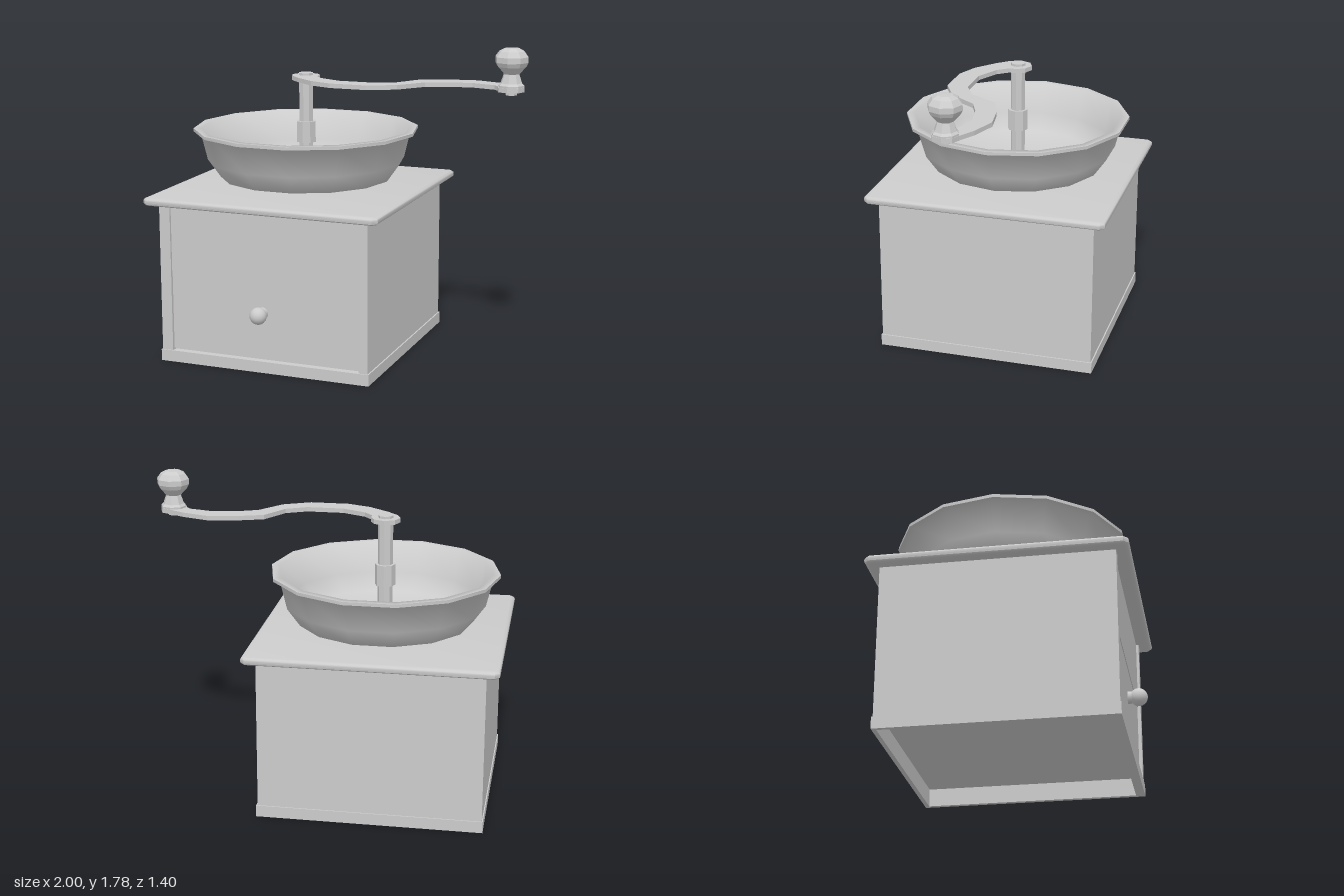
import * as THREE from 'three';
import { toCreasedNormals } from 'three/addons/utils/BufferGeometryUtils.js';

const CX = -0.31, CZ = -0.006; // centre of the box
const SHAFT_X = -0.307, SHAFT_Z = -0.025; // centre of bowl and shaft
const KNOB_X = 0.907, KNOB_Z = 0.014; // centre of the crank knob

const smooth = new THREE.MeshStandardMaterial({ color: 0xcccccc });
const flat = new THREE.MeshStandardMaterial({ color: 0xcccccc, flatShading: true });

const points = (list) => list.map(([x, y]) => new THREE.Vector2(x, y));

export function createModel() {
  const model = new THREE.Group();
  model.name = 'coffeeGrinder';

  const add = (name, geometry, x, y, z, material = flat) => {
    const mesh = new THREE.Mesh(geometry, material);
    mesh.name = name;
    mesh.position.set(x, y, z);
    model.add(mesh);
    return mesh;
  };
  // Box given by its limits on each axis
  const block = (name, x0, x1, y0, y1, z0, z1) =>
    add(name, new THREE.BoxGeometry(x1 - x0, y1 - y0, z1 - z0),
      (x0 + x1) / 2, (y0 + y1) / 2, (z0 + z1) / 2);
  // Upright prism given by its bottom and top
  const post = (name, r, y0, y1, x, z, sides = 8) =>
    add(name, new THREE.CylinderGeometry(r, r, y1 - y0, sides), x, (y0 + y1) / 2, z);
  // Plan shape drawn as (x, z), extruded from y0 up to y1
  const slab = (name, shape, y0, y1) => {
    const geometry = new THREE.ExtrudeGeometry(shape, { depth: y1 - y0, bevelEnabled: false });
    geometry.rotateX(Math.PI / 2);
    return add(name, geometry, 0, y1, 0);
  };
  // Rectangular frame around the hollow underside
  const frame = (name, x0, x1, z0, z1, y0, y1) => {
    const shape = new THREE.Shape(points([[x0, z0], [x1, z0], [x1, z1], [x0, z1]]));
    shape.holes.push(new THREE.Path(points(
      [[-0.91, -0.608], [-0.91, 0.57], [0.29, 0.57], [0.29, -0.608]])));
    return slab(name, shape, y0, y1);
  };

  // Wooden case: carcass, corner stiles, recessed front and skirt
  block('carcass', -0.927, 0.307, 0.1, 0.91, -0.625, 0.58);
  frame('carcassFoot', -0.927, 0.307, -0.625, 0.58, 0.065, 0.1);
  frame('skirt', -0.933, 0.315, -0.632, 0.62, 0, 0.065);
  block('leftStile', 0.255, 0.307, 0.06, 0.91, 0.575, 0.614);
  block('rightStile', -0.927, -0.863, 0.06, 0.91, 0.575, 0.614);
  block('upperPanel', -0.863, 0.255, 0.516, 0.91, 0.575, 0.6);
  block('drawerFront', -0.863, 0.255, 0.075, 0.516, 0.575, 0.596);

  // Drawer knob with its stem
  add('drawerKnob', new THREE.SphereGeometry(0.048, 16, 12), -0.315, 0.337, 0.654, smooth);
  const stem = add('drawerKnobStem', new THREE.CylinderGeometry(0.03, 0.035, 0.05, 12),
    -0.315, 0.337, 0.612, smooth);
  stem.rotation.x = Math.PI / 2;

  // Lid with rounded edges and slightly cut corners
  const h = 0.667, c = 0.655;
  const lidShape = new THREE.Shape(points([
    [-c, -h], [c, -h], [h, -c], [h, c], [c, h], [-c, h], [-h, c], [-h, -c],
  ]));
  const lid = new THREE.ExtrudeGeometry(lidShape, {
    depth: 0.006, bevelThickness: 0.019, bevelSize: 0.023, bevelSegments: 3,
  });
  lid.rotateX(-Math.PI / 2);
  add('lid', toCreasedNormals(lid, 0.7), CX, 0.922, CZ, smooth);

  // Fourteen-sided thin bowl: outside from the foot up, over the rim, then down inside
  const bowlProfile = points([
    [0, 0.94], [0.24, 0.945], [0.492, 0.99], [0.565, 1.092], [0.605, 1.257],
    [0.643, 1.257], [0.643, 1.275], [0.6, 1.275],
    [0.555, 1.1], [0.482, 1.005], [0.235, 0.962], [0, 0.957],
  ]);
  const bowl = new THREE.LatheGeometry(bowlProfile, 14, Math.PI / 2);
  add('bowl', toCreasedNormals(bowl, 1.45), SHAFT_X, 0, SHAFT_Z, smooth);

  // Shaft and its collar
  post('shaft', 0.042, 0.95, 1.587, SHAFT_X, SHAFT_Z);
  post('shaftCollar', 0.058, 1.19, 1.31, SHAFT_X, SHAFT_Z);

  // S-shaped crank arm with round ends
  slab('crankArm', new THREE.Shape(points([
    [-0.227, 0.005], [-0.178, 0.065], [-0.045, 0.13], [0.16, 0.13], [0.275, 0.07],
    [0.33, -0.025], [0.365, -0.085], [0.51, -0.136], [0.67, -0.16], [0.82, -0.11],
    [0.91, -0.06], [0.96, -0.038], [0.98, 0.014], [0.96, 0.067], [0.905, 0.089],
    [0.85, 0.067], [0.83, 0.014], [0.805, -0.015], [0.67, -0.05], [0.525, -0.025],
    [0.42, 0.02], [0.31, 0.17], [0.16, 0.246], [-0.055, 0.246], [-0.185, 0.195],
    [-0.3, 0.105], [-0.365, 0.038], [-0.388, -0.025], [-0.364, -0.082],
    [-0.307, -0.106], [-0.25, -0.082], [-0.226, -0.035],
  ])), 1.549, 1.574);

  // Faceted crank knob and the rivet under it
  const knobProfile = points([
    [0, 1.57], [0.072, 1.57], [0.072, 1.584], [0.06, 1.596], [0.043, 1.645],
    [0.08, 1.685], [0.092, 1.708], [0.092, 1.738], [0.07, 1.768], [0.042, 1.783], [0, 1.785],
  ]);
  add('crankKnob', new THREE.LatheGeometry(knobProfile, 8), KNOB_X, 0, KNOB_Z);
  post('knobRivet', 0.032, 1.53, 1.572, KNOB_X, KNOB_Z);

  return model;
}
